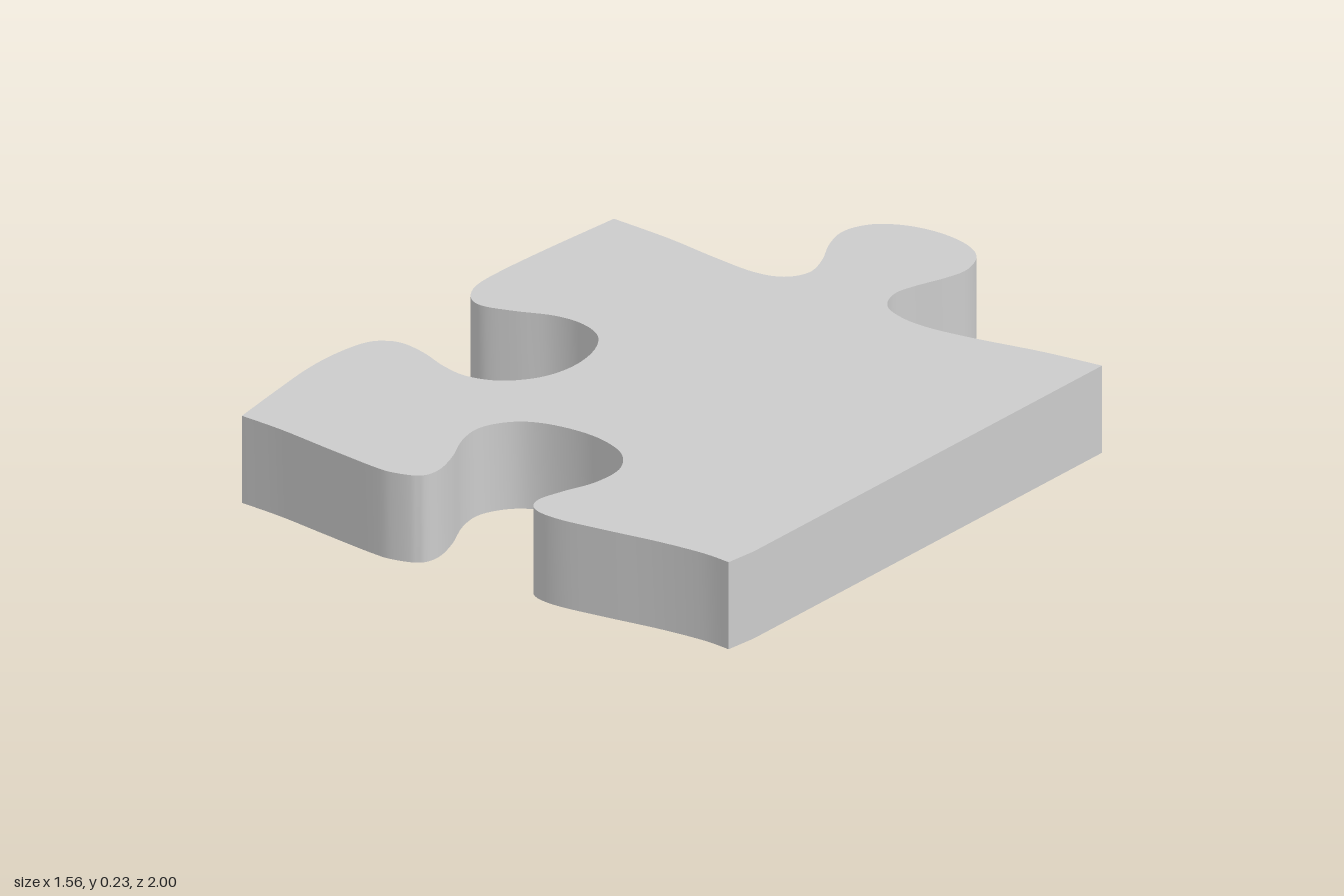
import * as THREE from 'three';
import { toCreasedNormals } from 'three/addons/utils/BufferGeometryUtils.js';

const THICKNESS = 0.235;

// Outline edges as [x, z] points, each running corner to corner
const backEdge = [ // with the knob
  [-0.73, -0.585], [-0.55, -0.57], [-0.395, -0.545], [-0.26, -0.53], [-0.18, -0.55],
  [-0.145, -0.61], [-0.165, -0.69], [-0.21, -0.78], [-0.23, -0.865], [-0.2, -0.94],
  [-0.13, -0.985], [-0.04, -1], [0.055, -0.985], [0.125, -0.94], [0.157, -0.86],
  [0.145, -0.785], [0.115, -0.7], [0.103, -0.63], [0.135, -0.56], [0.205, -0.525],
  [0.295, -0.515], [0.425, -0.53], [0.61, -0.565], [0.78, -0.585],
];
const frontEdge = [ // with a socket
  [0.77, 0.94], [0.69, 0.933], [0.56, 0.942], [0.4, 0.965], [0.267, 0.98], [0.19, 0.965],
  [0.162, 0.915], [0.18, 0.835], [0.21, 0.745], [0.21, 0.645], [0.16, 0.567], [0.08, 0.527],
  [-0.013, 0.515], [-0.113, 0.53], [-0.18, 0.57], [-0.22, 0.645], [-0.21, 0.73],
  [-0.167, 0.83], [-0.145, 0.915], [-0.16, 0.97], [-0.225, 0.995], [-0.29, 0.995],
  [-0.45, 0.973], [-0.605, 0.95], [-0.735, 0.94],
];
const sideEdge = [ // right-hand socket side, seen from the back
  [-0.735, 0.94], [-0.76, 0.77], [-0.78, 0.61], [-0.78, 0.49], [-0.762, 0.395],
  [-0.727, 0.355], [-0.68, 0.343], [-0.605, 0.36], [-0.52, 0.395], [-0.437, 0.41],
  [-0.35, 0.38], [-0.285, 0.3], [-0.264, 0.196], [-0.283, 0.09], [-0.33, 0.015],
  [-0.405, -0.02], [-0.49, -0.018], [-0.585, 0.018], [-0.67, 0.04], [-0.722, 0.015],
  [-0.755, -0.053], [-0.76, -0.16], [-0.75, -0.345], [-0.73, -0.585],
];

// Continue the outline smoothly through one edge's points
function addEdge(shape, edge) {
  shape.splineThru(edge.slice(1).map(([x, z]) => new THREE.Vector2(x, z)));
}

export function createModel() {
  const outline = new THREE.Shape();
  outline.moveTo(...backEdge[0]);
  addEdge(outline, backEdge);
  outline.lineTo(0.78, 0.85); // straight border side
  outline.lineTo(...frontEdge[0]);
  addEdge(outline, frontEdge);
  addEdge(outline, sideEdge);

  // Extrude, then lay flat so the outline's y becomes z
  const geometry = new THREE.ExtrudeGeometry(outline, {
    depth: THICKNESS, bevelEnabled: false, curveSegments: 5,
  });
  geometry.rotateX(Math.PI / 2).translate(0, THICKNESS, 0);

  const piece = new THREE.Mesh(
    toCreasedNormals(geometry, Math.PI / 6),
    new THREE.MeshStandardMaterial({ color: 0xcccccc }),
  );
  piece.name = 'puzzlePiece';

  const group = new THREE.Group();
  group.name = 'jigsawPiece';
  group.add(piece);
  return group;
}
